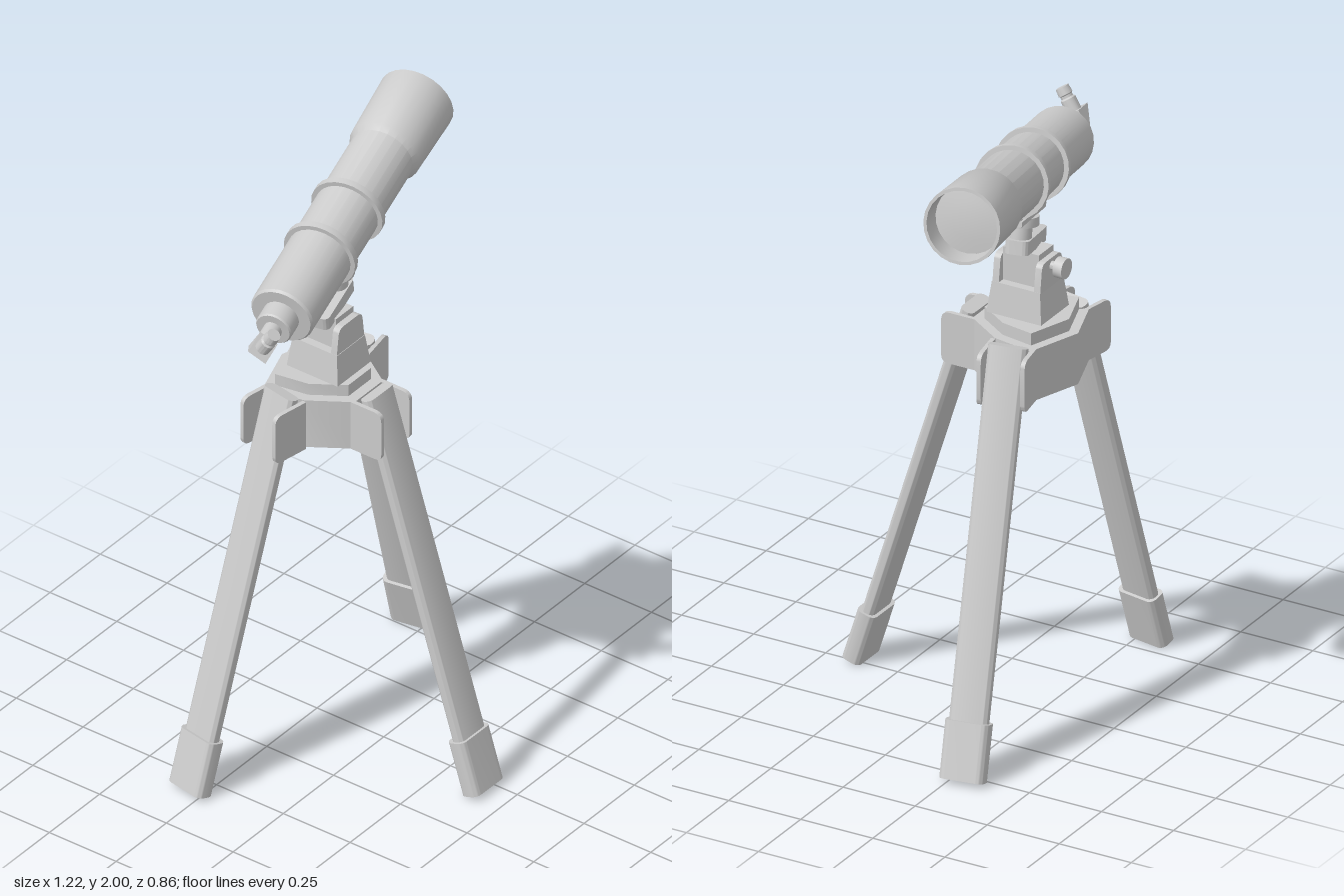
import * as THREE from 'three';
import { toCreasedNormals } from 'three/addons/utils/BufferGeometryUtils.js';

const material = new THREE.MeshStandardMaterial({ color: 0xcccccc, side: THREE.DoubleSide });

function add(parent, name, geometry, x = 0, y = 0, z = 0) {
  const mesh = new THREE.Mesh(toCreasedNormals(geometry, 0.6), material);
  mesh.name = name;
  mesh.position.set(x, y, z);
  parent.add(mesh);
  return mesh;
}

const vectors = (points) => points.map(([x, y]) => new THREE.Vector2(x, y));

const extrude = (shape, depth) =>
  new THREE.ExtrudeGeometry(shape, { depth, bevelEnabled: false, curveSegments: 6 });

// Turned part whose axis runs along x; profile points are [radius, distance]
const turned = (points, sides = 24) =>
  new THREE.LatheGeometry(vectors(points), sides).rotateZ(-Math.PI / 2);

function roundedRect(w, h, r) {
  const s = new THREE.Shape();
  s.absarc(w / 2 - r, h / 2 - r, r, 0, Math.PI / 2);
  s.absarc(-w / 2 + r, h / 2 - r, r, Math.PI / 2, Math.PI);
  s.absarc(-w / 2 + r, -h / 2 + r, r, Math.PI, Math.PI * 1.5);
  s.absarc(w / 2 - r, -h / 2 + r, r, Math.PI * 1.5, Math.PI * 2);
  s.closePath();
  return s;
}

// Flat tube leg with a thicker foot, running from foot to top
function makeLeg(foot, top) {
  const leg = new THREE.Group();
  leg.name = 'leg';
  const along = top.clone().sub(foot);
  const length = along.length();
  along.normalize();
  const across = new THREE.Vector3(along.z, 0, -along.x).normalize();
  const normal = along.clone().cross(across);
  leg.quaternion.setFromRotationMatrix(new THREE.Matrix4().makeBasis(across, normal, along));
  leg.position.copy(foot);
  add(leg, 'legTube', extrude(roundedRect(0.125, 0.045, 0.021), length - 0.02), 0, 0, 0.02);
  add(leg, 'legFoot', extrude(roundedRect(0.142, 0.065, 0.022), 0.18));
  return leg;
}

// Pair of plates that hold the top of one leg; local z points outwards
function makeBracket(x, z, angle) {
  const bracket = new THREE.Group();
  bracket.name = 'legBracket';
  bracket.position.set(x, 1.1, z);
  bracket.rotation.y = angle;
  const s = new THREE.Shape();
  s.moveTo(-0.02, 0);
  s.lineTo(0.08, 0);
  s.quadraticCurveTo(0.105, 0, 0.105, 0.025);
  s.lineTo(0.105, 0.14);
  s.quadraticCurveTo(0.105, 0.17, 0.075, 0.17);
  s.lineTo(-0.02, 0.17);
  s.closePath();
  for (const side of [-1, 1]) {
    const plate = extrude(s, 0.014).translate(0, 0, -0.007).rotateY(-Math.PI / 2);
    add(bracket, 'bracketPlate', plate, side * 0.07);
  }
  return bracket;
}

// Hub, mount base and three legs
function makeTripod() {
  const tripod = new THREE.Group();
  tripod.name = 'tripod';
  const cx = -0.035;

  // Outline is relative to the hub centre, as [x, -z]
  const outline = [[-0.07, -0.17], [0.07, -0.17], [0.153, -0.044], [0.177, 0.094],
    [0, 0.155], [-0.177, 0.094], [-0.153, -0.044]];
  const plan = (scale, height) => extrude(
    new THREE.Shape(vectors(outline.map(([x, y]) => [x * scale, y * scale]))), height).rotateX(-Math.PI / 2);
  add(tripod, 'hub', plan(1, 0.17), cx, 1.1, -0.2);
  add(tripod, 'hubTopPlate', plan(0.8, 0.04), cx, 1.27, -0.2);

  tripod.add(makeBracket(cx, -0.03, 0));
  for (const side of [-1, 1]) {
    tripod.add(makeBracket(cx + side * 0.165, -0.225, side * Math.atan2(0.985, -0.174)));
  }

  const v = (x, y, z) => new THREE.Vector3(x, y, z);
  tripod.add(makeLeg(v(-0.038, 0.01, 0.4), v(cx, 1.28, 0)));
  tripod.add(makeLeg(v(-0.572, 0.01, -0.295), v(-0.205, 1.28, -0.228)));
  tripod.add(makeLeg(v(0.543, 0.01, -0.295), v(0.16, 1.28, -0.228)));

  // Tapered pedestal
  const pedestal = new THREE.BoxGeometry(0.165, 0.1, 0.19);
  const p = pedestal.attributes.position;
  for (let i = 0; i < p.count; i++) {
    if (p.getY(i) > 0) p.setXYZ(i, p.getX(i) * 0.84, p.getY(i), p.getZ(i) * 0.88);
  }
  add(tripod, 'pedestal', pedestal, cx, 1.36, -0.18);

  // Fork cheeks, pivot block between them, and clamp knob at the back
  const cheek = new THREE.Shape();
  cheek.moveTo(-0.069, 0);
  cheek.lineTo(0.069, 0);
  cheek.lineTo(0.06, 0.07);
  cheek.quadraticCurveTo(0.057, 0.095, 0.035, 0.095);
  cheek.lineTo(-0.035, 0.095);
  cheek.quadraticCurveTo(-0.057, 0.095, -0.06, 0.07);
  cheek.closePath();
  for (const z of [-0.12, -0.264]) add(tripod, 'forkCheek', extrude(cheek, 0.022), cx, 1.405, z);
  add(tripod, 'pivotBlock', new THREE.BoxGeometry(0.085, 0.12, 0.124), cx, 1.46, -0.182);
  const rod = (r, l) => new THREE.CylinderGeometry(r, r, l, 16).rotateX(Math.PI / 2);
  add(tripod, 'knobShaft', rod(0.014, 0.05), cx, 1.475, -0.275);
  add(tripod, 'clampKnob', rod(0.033, 0.03), cx, 1.475, -0.3);
  return tripod;
}

// Optical tube with its axis along local x, rear end at the origin
function makeTelescope() {
  const scope = new THREE.Group();
  scope.name = 'telescope';
  scope.position.set(-0.38, 1.71, -0.098);
  scope.rotation.set(0, 0.217, 0.17, 'YZX');

  add(scope, 'mainTube', turned([[0, 0], [0.096, 0], [0.102, 0.008], [0.102, 0.735], [0.115, 0.755],
    [0.121, 0.99], [0.111, 0.99], [0.108, 0.91]]));
  add(scope, 'frontLens', turned([[0.109, 0.91], [0.06, 0.917], [0, 0.92]]));
  add(scope, 'focuser', turned([[0, -0.06], [0.054, -0.06], [0.058, -0.055], [0.058, 0.005]]));
  add(scope, 'drawTube', turned([[0, -0.15], [0.029, -0.15], [0.029, -0.055]], 16));

  // Clamp rings and the rail beneath them
  for (const x of [0.29, 0.49]) {
    add(scope, 'clampRing', turned([[0.1, -0.011], [0.117, -0.011], [0.117, 0.011], [0.1, 0.011]]), x);
    add(scope, 'ringFoot', new THREE.BoxGeometry(0.022, 0.025, 0.07), x, -0.11);
  }
  add(scope, 'rail', new THREE.BoxGeometry(0.24, 0.016, 0.085), 0.39, -0.125);

  // Turntable and tilting arm
  add(scope, 'turntable', new THREE.CylinderGeometry(0.055, 0.055, 0.03, 20), 0.38, -0.147);
  add(scope, 'turntableNeck', new THREE.CylinderGeometry(0.034, 0.034, 0.06, 16), 0.375, -0.185);
  add(scope, 'tiltArm', extrude(roundedRect(0.2, 0.075, 0.018), 0.044).rotateX(-Math.PI / 2), 0.32, -0.25);

  // Prism and eyepiece, rolled to one side
  const diagonal = new THREE.Group();
  diagonal.name = 'diagonal';
  diagonal.position.x = -0.175;
  diagonal.rotation.x = 0.55;
  scope.add(diagonal);
  const triangle = new THREE.Shape(vectors([[0.045, -0.045], [0.045, 0.04], [-0.045, 0.04]]));
  add(diagonal, 'prismHousing', extrude(triangle, 0.064).translate(0, 0, -0.032));
  add(diagonal, 'eyepiece', new THREE.LatheGeometry(vectors([[0.024, 0.035], [0.024, 0.08], [0.019, 0.085],
    [0.019, 0.093], [0.023, 0.096], [0.021, 0.12], [0, 0.12]]), 16));
  return scope;
}

export function createModel() {
  const model = new THREE.Group();
  model.name = 'telescopeOnTripod';
  model.add(makeTripod(), makeTelescope());
  return model;
}
